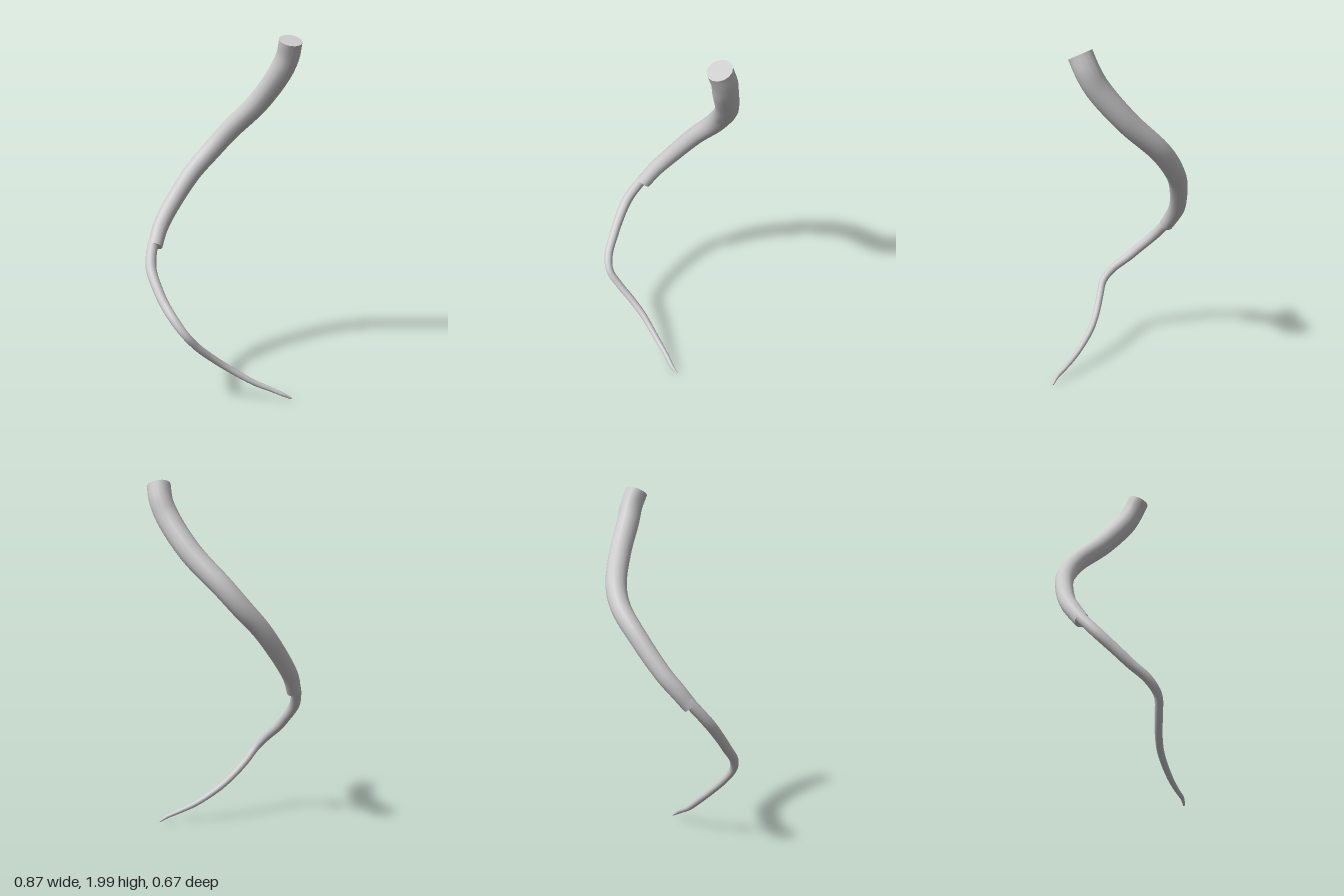
import * as THREE from 'three';

// Centre line stations: x, y, z, radius
const UPPER = [
  [0.365, 1.972, 0.02, 0.065],
  [0.358, 1.89, -0.018, 0.065],
  [0.326, 1.8, -0.056, 0.065],
  [0.22, 1.62, -0.162, 0.062],
  [0.066, 1.445, -0.262, 0.058],
  [-0.03, 1.335, -0.281, 0.056],
  [-0.15, 1.205, -0.253, 0.052],
  [-0.298, 1.0, -0.167, 0.047],
  [-0.345, 0.92, -0.113, 0.045],
  [-0.376, 0.835, -0.05, 0.041],
];
const LOWER = [
  [-0.362, 0.9, -0.095, 0.028],
  [-0.39, 0.84, -0.045, 0.03],
  [-0.406, 0.735, 0.05, 0.03],
  [-0.376, 0.64, 0.14, 0.028],
  [-0.345, 0.575, 0.2, 0.027],
  [-0.29, 0.495, 0.28, 0.025],
  [-0.236, 0.425, 0.312, 0.022],
  [-0.172, 0.35, 0.294, 0.021],
  [-0.085, 0.27, 0.264, 0.02],
  [0, 0.204, 0.247, 0.019],
  [0.14, 0.114, 0.248, 0.016],
  [0.246, 0.066, 0.256, 0.013],
  [0.31, 0.037, 0.266, 0.011],
  [0.357, 0.01, 0.261, 0.005],
];

const SIDES = 14;

// Tube whose radius follows the stations along the curve
function taperedTube(stations, steps) {
  const curve = new THREE.CatmullRomCurve3(
    stations.map(([x, y, z]) => new THREE.Vector3(x, y, z)));
  const geometry = new THREE.TubeGeometry(curve, steps, 1, SIDES, false);
  const pos = geometry.attributes.position;
  const v = new THREE.Vector3();
  for (let i = 0; i <= steps; i++) {
    const u = i / steps;
    const centre = curve.getPointAt(u);
    const t = curve.getUtoTmapping(u) * (stations.length - 1);
    const k = Math.min(Math.floor(t), stations.length - 2);
    const radius = THREE.MathUtils.lerp(stations[k][3], stations[k + 1][3], t - k);
    for (let j = 0; j <= SIDES; j++) {
      const n = i * (SIDES + 1) + j;
      v.fromBufferAttribute(pos, n).sub(centre).multiplyScalar(radius).add(centre);
      pos.setXYZ(n, v.x, v.y, v.z);
    }
  }
  return geometry;
}

// Flat disc closing one end ring of a tube
function endCap(tube, ring) {
  const pos = tube.attributes.position;
  const points = [];
  for (let j = 0; j < SIDES; j++) {
    points.push(new THREE.Vector3().fromBufferAttribute(pos, ring * (SIDES + 1) + j));
  }
  const index = [];
  for (let j = 1; j < SIDES - 1; j++) index.push(0, j, j + 1);
  const cap = new THREE.BufferGeometry().setFromPoints(points);
  cap.setIndex(index);
  cap.computeVertexNormals();
  return cap;
}

export function createModel() {
  const model = new THREE.Group();
  model.name = 'curvedTendril';
  const material = new THREE.MeshStandardMaterial({ color: 0xcccccc, side: THREE.DoubleSide });

  function addSection(name, stations, steps) {
    const section = new THREE.Group();
    section.name = name;
    const tube = taperedTube(stations, steps);
    const parts = { Tube: tube, StartCap: endCap(tube, 0), EndCap: endCap(tube, steps) };
    for (const [part, geometry] of Object.entries(parts)) {
      const mesh = new THREE.Mesh(geometry, material);
      mesh.name = name + part;
      section.add(mesh);
    }
    model.add(section);
  }

  // Thick upper stem, then the thin tail emerging from its lower end
  addSection('upperStem', UPPER, 64);
  addSection('lowerTail', LOWER, 72);
  return model;
}
